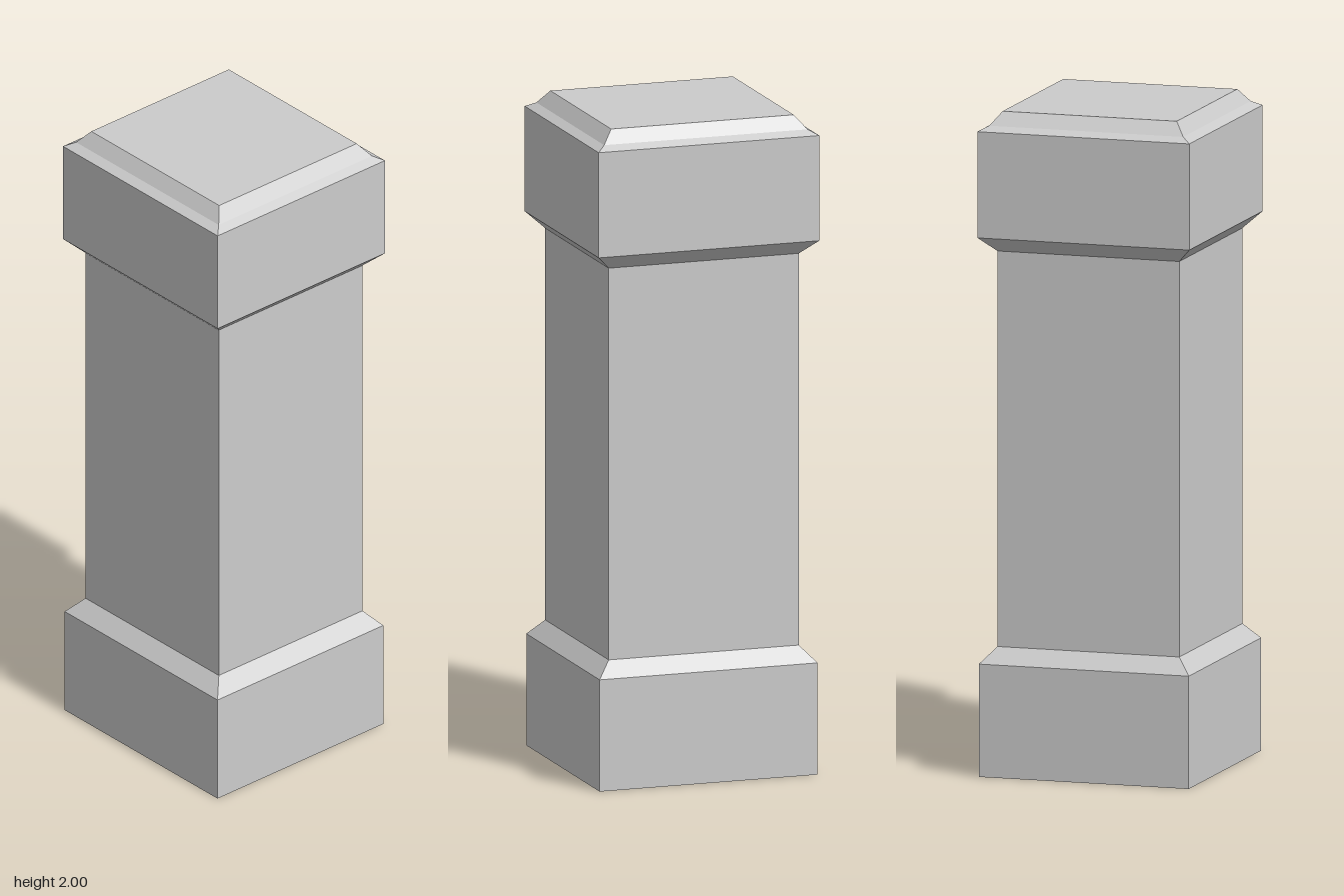
import * as THREE from 'three';

const material = new THREE.MeshStandardMaterial({
  color: 0xcccccc, flatShading: true, side: THREE.DoubleSide,
});

// Open rectangular shell through levels of [half width x, half depth z, y].
function shell(name, levels, closedTop = false) {
  const corners = levels.map(([x, z, y]) => [[x, y, z], [x, y, -z], [-x, y, -z], [-x, y, z]]);
  const pos = [];
  const quad = (a, b, c, d) => [a, b, c, a, c, d].forEach((p) => pos.push(...p));
  for (let i = 0; i < corners.length - 1; i++) {
    const lo = corners[i], hi = corners[i + 1];
    for (let k = 0; k < 4; k++) {
      const n = (k + 1) % 4;
      quad(lo[k], lo[n], hi[n], hi[k]);
    }
  }
  if (closedTop) quad(...corners[corners.length - 1]);
  const geometry = new THREE.BufferGeometry();
  geometry.setAttribute('position', new THREE.Float32BufferAttribute(pos, 3));
  geometry.computeVertexNormals();
  const mesh = new THREE.Mesh(geometry, material);
  mesh.name = name;
  return mesh;
}

export function createModel() {
  const pillar = new THREE.Group();
  pillar.name = 'pillar';

  // Hollow plinth, open underneath, with a sloped shoulder
  pillar.add(shell('base', [[0.343, 0.328, 0], [0.343, 0.328, 0.34], [0.299, 0.284, 0.388]]));

  // Plain square shaft
  pillar.add(shell('shaft', [[0.299, 0.284, 0.388], [0.299, 0.284, 1.58]]));

  // Flared capital with a two-step bevel up to the flat top
  pillar.add(shell('capital', [
    [0.299, 0.284, 1.58],
    [0.347, 0.331, 1.625],
    [0.347, 0.331, 1.945],
    [0.32, 0.303, 1.96],
    [0.287, 0.272, 2],
  ], true));

  return pillar;
}
